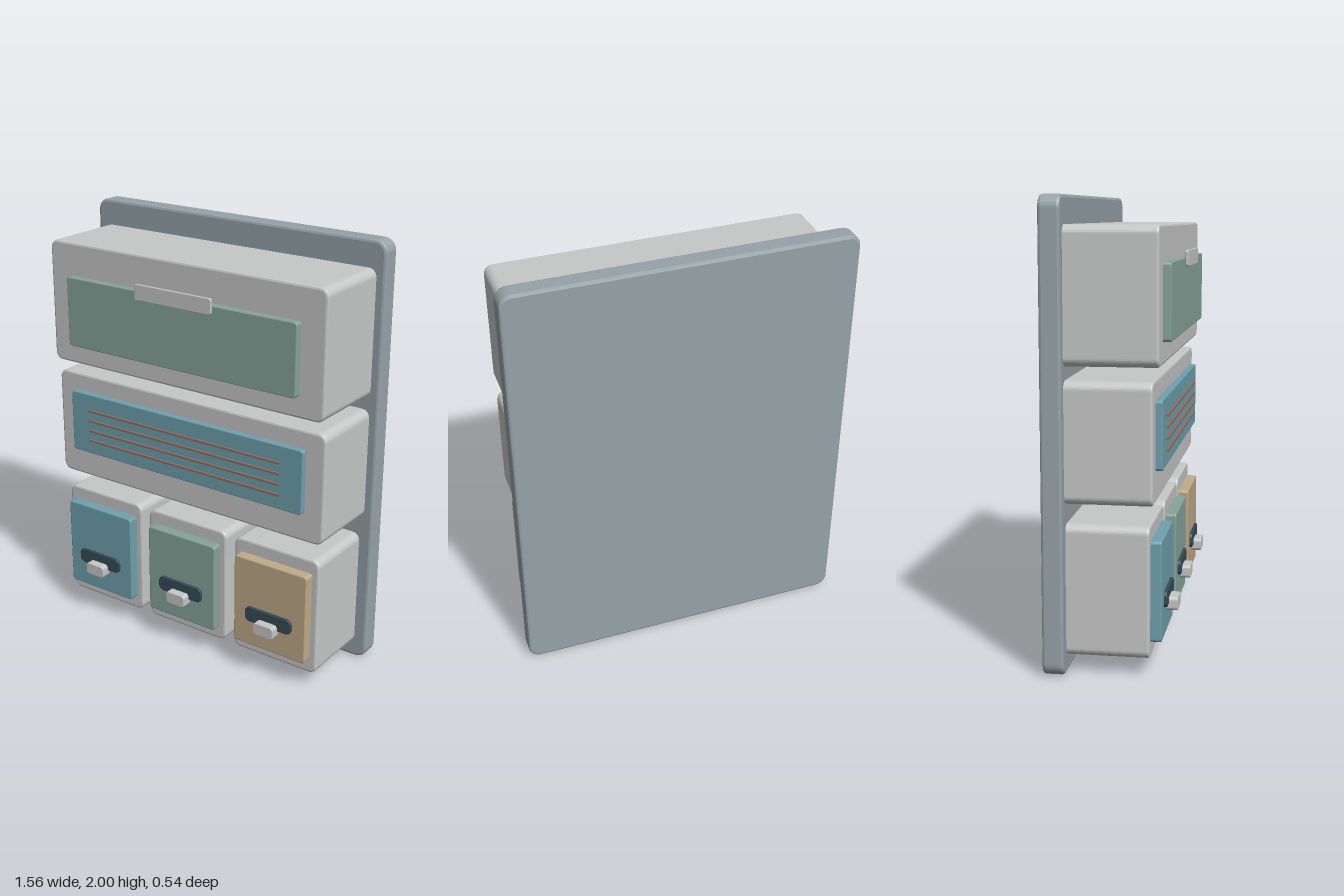
import * as THREE from 'three';

const mat = (name, color) => {
  const m = new THREE.MeshStandardMaterial({ color });
  m.name = name;
  return m;
};

// Rounded rectangular slab with softened front and back edges
function slab(name, material, [x0, x1], [y0, y1], [z0, z1], radius, bevel) {
  const w = (x1 - x0) / 2 - bevel, h = (y1 - y0) / 2 - bevel;
  const r = Math.max(radius - bevel, 0.002);
  const s = new THREE.Shape();
  s.moveTo(-w + r, -h);
  s.lineTo(w - r, -h);
  s.absarc(w - r, -h + r, r, -Math.PI / 2, 0);
  s.lineTo(w, h - r);
  s.absarc(w - r, h - r, r, 0, Math.PI / 2);
  s.lineTo(-w + r, h);
  s.absarc(-w + r, h - r, r, Math.PI / 2, Math.PI);
  s.lineTo(-w, -h + r);
  s.absarc(-w + r, -h + r, r, Math.PI, Math.PI * 1.5);
  const geo = new THREE.ExtrudeGeometry(s, {
    depth: z1 - z0 - 2 * bevel, curveSegments: 4,
    bevelEnabled: true, bevelThickness: bevel, bevelSize: bevel, bevelSegments: 2,
  });
  const mesh = new THREE.Mesh(geo, material);
  mesh.name = name;
  mesh.position.set((x0 + x1) / 2, (y0 + y1) / 2, z0 + bevel);
  return mesh;
}

export function createModel() {
  const slate = mat('slate', 0x96a3a9);
  const lightGrey = mat('light grey', 0xc6c8c7);
  const green = mat('sage green', 0x86a59a);
  const blue = mat('teal blue', 0x6fa1ae);
  const tan = mat('tan', 0xc0ab88);
  const dark = mat('dark slate', 0x364b55);
  const brown = mat('brown', 0x8f6f66);

  const model = new THREE.Group();
  model.name = 'wallOrganizer';
  const centred = (half) => [-half, half];

  // Wall plate
  model.add(slab('backPlate', slate, centred(0.778), [0, 2], [-0.272, -0.18], 0.055, 0.012));

  // Upper cabinet with a flap and its pull
  const upper = new THREE.Group();
  upper.name = 'upperCabinet';
  upper.add(
    slab('upperBody', lightGrey, centred(0.736), [1.306, 1.88], [-0.19, 0.213], 0.038, 0.01),
    slab('upperFlap', green, centred(0.616), [1.402, 1.728], [0.205, 0.248], 0.014, 0.004),
    slab('flapPull', lightGrey, centred(0.204), [1.694, 1.765], [0.258, 0.271], 0.01, 0.002),
  );
  model.add(upper);

  // Middle cabinet with a slatted panel
  const middle = new THREE.Group();
  middle.name = 'middleCabinet';
  middle.add(
    slab('middleBody', lightGrey, centred(0.736), [0.732, 1.248], [-0.19, 0.188], 0.038, 0.01),
    slab('middlePanel', blue, centred(0.643), [0.867, 1.165], [0.18, 0.217], 0.014, 0.004),
  );
  [1.086, 1.036, 0.986, 0.936].forEach((y, i) => {
    const slat = new THREE.Mesh(new THREE.BoxGeometry(1.07, 0.01, 0.011), brown);
    slat.name = `slat${i + 1}`;
    slat.position.set(0, y, 0.2225);
    middle.add(slat);
  });
  model.add(middle);

  // Three small drawers
  [blue, green, tan].forEach((face, i) => {
    const drawer = new THREE.Group();
    drawer.name = ['rightDrawer', 'centreDrawer', 'leftDrawer'][i];
    drawer.position.x = (i - 1) * 0.494;
    drawer.add(
      slab('drawerBody', lightGrey, centred(0.223), [0.076, 0.644], [-0.19, 0.173], 0.036, 0.01),
      slab('drawerFront', face, centred(0.191), [0.143, 0.579], [0.165, 0.221], 0.014, 0.005),
      slab('latchPlate', dark, centred(0.123), [0.271, 0.344], [0.215, 0.234], 0.026, 0.003),
      slab('latch', lightGrey, centred(0.053), [0.24, 0.3], [0.222, 0.272], 0.016, 0.003),
    );
    model.add(drawer);
  });

  return model;
}
